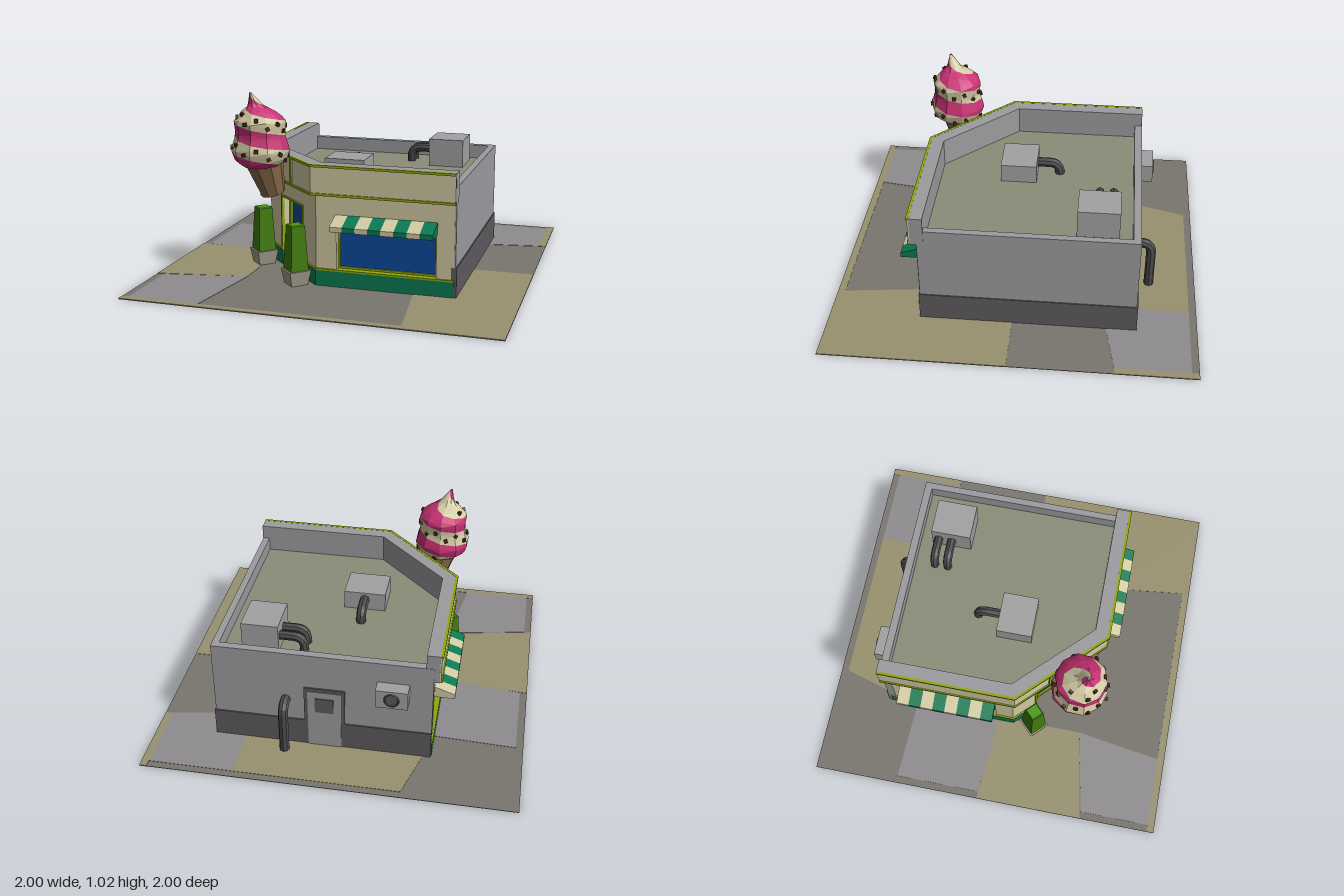
import * as THREE from 'three';

const C = {
  cream: 0xd2cba4, green: 0x0a7a52, trim: 0x8fa80a, grey: 0x9c9ca0, dark: 0x5e5a5e, glass: 0x0a4a9c, roof: 0x8c8c78,
  pipe: 0x4c4c4e, paveDark: 0x7a7670, paveGrey: 0x8e8c8e, paveTan: 0x98916f, pink: 0xc83274, waffle: 0x86694a,
  chip: 0x4a2a18, pot: 0xa39c8a, leaf: 0x3f7a0c, leafTop: 0x4c9a0a, unit: 0xa2a2a4,
};
const mats = {};
const mat = (c) => (mats[c] ??= new THREE.MeshStandardMaterial({ color: C[c], flatShading: true, side: THREE.DoubleSide }));

export function createModel() {
  const root = new THREE.Group();

  const add = (name, geo, c, parent = root) => {
    const m = new THREE.Mesh(geo, mat(c));
    m.name = name;
    parent.add(m);
    return m;
  };
  // Box given by its extents
  const box = (name, c, [x0, x1], [y0, y1], [z0, z1], parent = root) => {
    const m = add(name, new THREE.BoxGeometry(x1 - x0, y1 - y0, z1 - z0), c, parent);
    m.position.set((x0 + x1) / 2, (y0 + y1) / 2, (z0 + z1) / 2);
    return m;
  };
  // Plan outline [x, z] raised from y0 to y1
  const slab = (name, c, pts, y0, y1) => {
    const shape = new THREE.Shape(pts.map(([x, z]) => new THREE.Vector2(x, -z)));
    const geo = new THREE.ExtrudeGeometry(shape, { depth: y1 - y0, bevelEnabled: false });
    geo.rotateX(-Math.PI / 2).translate(0, y0, 0);
    return add(name, geo, c);
  };
  const pipe = (name, pts, r) => {
    const path = new THREE.CurvePath();
    const v = pts.map((p) => new THREE.Vector3(...p));
    // rounded elbow at the middle point
    const a = v[1].clone().lerp(v[0], Math.min(1, 0.06 / v[1].distanceTo(v[0])));
    const b = v[1].clone().lerp(v[2], Math.min(1, 0.06 / v[1].distanceTo(v[2])));
    path.add(new THREE.LineCurve3(v[0], a));
    path.add(new THREE.QuadraticBezierCurve3(a, v[1], b));
    path.add(new THREE.LineCurve3(b, v[2]));
    add(name, new THREE.TubeGeometry(path, 16, r, 8), 'pipe');
  };

  // Paving
  slab('paving', 'paveDark', [[-1, -1], [1, -1], [1, 1], [-1, 1]], 0.001, 0.004);
  const patches = [
    ['paveTan', [[-0.39, -0.96], [0.5, -0.96], [0.5, -0.48], [-0.52, -0.5]]],
    ['paveGrey', [[0.5, -0.96], [0.96, -0.96], [0.96, -0.56], [0.5, -0.48]]],
    ['paveTan', [[0.45, 0], [1, 0], [1, 1], [0.5, 1], [0.44, 0.5]]],
    ['paveGrey', [[-0.96, -0.52], [-0.5, -0.5], [-0.5, 0], [-0.96, -0.04]]],
    ['paveTan', [[-1, -0.04], [-0.5, -0.01], [-0.5, 0.48], [-1, 0.57]]],
    ['paveGrey', [[-0.96, 0.57], [-0.5, 0.48], [-0.57, 0.96], [-0.96, 0.96]]],
    ['paveTan', [[-1, 0.96], [0.5, 0.96], [0.5, 1], [-1, 1]]],
    ['paveTan', [[0.96, -1], [1, -1], [1, -0.56], [0.96, -0.56]]],
  ];
  for (const [c, p] of patches) slab('pavingPatch', c, p, 0, 0.006);

  // Shopfront line (left side, cut corner, front) pushed outward by d
  const line = (d, e = 0.655) => [
    [-0.51 - d, -e], [-0.51 - d, 0.083 + 0.414 * d], [-0.093 - 0.414 * d, 0.5 + d], [e, 0.5 + d],
  ];
  const S = Math.SQRT1_2, door = [-0.3015, 0.2915];
  const footprint = (d, hasDoor, hasWindows) => {
    const [a, b, c, e] = line(d);
    const pts = [a];
    if (hasWindows) pts.push([a[0], -0.565], [-0.47, -0.565], [-0.47, -0.02], [a[0], -0.02]);
    pts.push(b);
    if (hasDoor) {
      const at = (u, n) => [door[0] + S * (u - n), door[1] + S * (u + n)];
      pts.push(at(-0.13, d), at(-0.13, -0.065), at(0.13, -0.065), at(0.13, d));
    }
    pts.push(c);
    if (hasWindows) pts.push([0.02, c[1]], [0.02, 0.46], [0.56, 0.46], [0.56, c[1]]);
    pts.push(e, [0.655, -0.655]);
    return pts;
  };
  const strip = (name, c, d0, d1, y0, y1, e) =>
    slab(name, c, [...line(d1, e), ...line(d0, e).reverse()], y0, y1);

  // Shop body
  slab('shopBase', 'green', footprint(0.006, true, false), 0, 0.09);
  slab('baseTrim', 'trim', footprint(0.01, true, false), 0.09, 0.1);
  slab('shopWall', 'cream', footprint(0, true, true), 0.1, 0.345);
  slab('wallOverWindows', 'cream', footprint(0, true, false), 0.345, 0.405);
  slab('upperWall', 'cream', footprint(0, false, false), 0.405, 0.5);
  slab('roof', 'roof', footprint(-0.01, false, false), 0.5, 0.512);

  // Parapet with fascia and trims
  strip('parapet', 'grey', -0.04, 0.03, 0.505, 0.67, 0.665);
  strip('fascia', 'cream', 0.03, 0.038, 0.51, 0.66, 0.664);
  strip('lowerTrim', 'trim', 0, 0.045, 0.507, 0.52, 0.664);
  strip('upperTrim', 'trim', 0.03, 0.045, 0.658, 0.671, 0.664);

  // Plain right and back walls, with plinth
  box('rightWall', 'grey', [0.625, 0.662], [0, 0.59], [-0.665, 0.497]);
  box('backWall', 'grey', [-0.512, 0.662], [0, 0.59], [-0.667, -0.625]);
  box('rightPlinth', 'dark', [0.64, 0.668], [0, 0.165], [-0.672, 0.503]);
  for (const x of [[-0.512, -0.05], [0.17, 0.668]]) box('backPlinth', 'dark', x, [0, 0.165], [-0.674, -0.64]);

  // Window and striped awning, built facing +z around x = 0
  const shopWindow = (x, z, turn) => {
    const g = new THREE.Group();
    g.name = 'windowWithAwning';
    box('windowGlass', 'glass', [-0.27, 0.27], [0.1, 0.345], [-0.045, -0.035], g);
    for (const s of [-1, 1]) box('windowFrameSide', 'trim', [s * 0.265 - 0.006, s * 0.265 + 0.006], [0.1, 0.345], [-0.04, -0.028], g);
    for (const y of [0.105, 0.34]) box('windowFrameRail', 'trim', [-0.27, 0.27], [y - 0.006, y + 0.006], [-0.04, -0.028], g);
    const w = 0.55 / 8;
    const profile = new THREE.Shape([[0, 0.4], [0, 0.335], [0.108, 0.335], [0.108, 0.362]].map((p) => new THREE.Vector2(...p)));
    for (let i = 0; i < 8; i++) {
      const geo = new THREE.ExtrudeGeometry(profile, { depth: w, bevelEnabled: false });
      geo.rotateY(-Math.PI / 2).translate(-0.275 + (i + 1) * w, 0, 0);
      const first = turn ? 1 : 0;
      add('awningStripe', geo, (i + first) % 2 === first ? 'cream' : 'green', g);
    }
    g.position.set(x, 0, z);
    g.rotation.y = turn;
    root.add(g);
  };
  shopWindow(0.29, 0.5, 0);
  shopWindow(-0.51, -0.293, -Math.PI / 2);

  // Corner entrance
  const entry = new THREE.Group();
  entry.name = 'entrance';
  entry.position.set(door[0], 0, door[1]);
  entry.rotation.y = -Math.PI / 4;
  root.add(entry);
  box('doorGlass', 'glass', [-0.13, 0.13], [0.01, 0.405], [-0.062, -0.052], entry);
  for (const s of [-1, 1]) {
    box('doorStile', 'trim', [s * 0.119 - 0.011, s * 0.119 + 0.011], [0.005, 0.405], [-0.06, -0.04], entry);
    box('doorSurround', 'trim', [s * 0.136 - 0.006, s * 0.136 + 0.006], [0.1, 0.411], [-0.01, 0.006], entry);
    box('fasciaBar', 'trim', [s * 0.075 - 0.01, s * 0.075 + 0.01], [0.515, 0.665], [0.03, 0.046], entry);
  }
  for (const y of [0.02, 0.205, 0.39]) box('doorRail', 'trim', [-0.13, 0.13], [y - 0.015, y + 0.015], [-0.06, -0.042], entry);
  box('doorHandle', 'trim', [-0.11, -0.06], [0.17, 0.235], [-0.05, -0.025], entry);
  box('doorLintel', 'trim', [-0.142, 0.142], [0.4, 0.411], [-0.01, 0.006], entry);

  // Planters
  for (const [x, z] of [[-0.51, 0.205], [-0.205, 0.51]]) {
    add('planterPot', new THREE.CylinderGeometry(0.087, 0.066, 0.085, 4), 'pot').position.set(x, 0.0425, z);
    add('shrub', new THREE.CylinderGeometry(0.054, 0.073, 0.25, 4), 'leaf').position.set(x, 0.205, z);
    add('shrubTop', new THREE.CylinderGeometry(0.046, 0.052, 0.004, 4), 'leafTop').position.set(x, 0.332, z);
  }

  // Ice cream sign: waffle cone
  const cone = add('waffleCone', new THREE.CylinderGeometry(0.112, 0.068, 0.225, 9), 'waffle');
  cone.position.set(-0.4, 0.572, 0.4);
  cone.quaternion.setFromUnitVectors(new THREE.Vector3(0, 1, 0), new THREE.Vector3(-0.045, 0.225, 0.045).normalize());

  // Swirl: helical bands over a turned profile
  const prof = [[0.62, 0.09], [0.65, 0.138], [0.71, 0.158], [0.78, 0.136], [0.8, 0.132], [0.87, 0.14], [0.92, 0.09], [0.95, 0.042], [1.02, 0.006]];
  const swirl = (theta, height) => {
    const h = THREE.MathUtils.clamp(height, 0.62, 1.02);
    let i = 0;
    while (i < prof.length - 2 && h > prof[i + 1][0]) i++;
    const [[h0, r0], [h1, r1]] = [prof[i], prof[i + 1]];
    const r = r0 + ((r1 - r0) * (h - h0)) / (h1 - h0);
    const c = 0.428 + Math.max(0, h - 0.9) * 0.3;
    return [-c + r * Math.sin(theta), h, c + r * Math.cos(theta)];
  };
  const sides = 10, rows = 3, band = 0.08;
  const level = (theta, k) => 0.755 + band * k - (band * theta) / Math.PI;
  const verts = { pink: [], cream: [] };
  for (let k = -2; k < 6; k++) {
    for (let s = 0; s < sides; s++) for (let j = 0; j < rows; j++) {
      const t0 = (s / sides) * 2 * Math.PI, t1 = ((s + 1) / sides) * 2 * Math.PI;
      const k0 = k + j / rows, k1 = k + (j + 1) / rows;
      if (level(t0, k1) <= 0.62 || level(t1, k0) >= 1.02) continue;
      const a = swirl(t0, level(t0, k0)), b = swirl(t1, level(t1, k0));
      const c = swirl(t1, level(t1, k1)), d = swirl(t0, level(t0, k1));
      verts[k % 2 ? 'cream' : 'pink'].push(...a, ...b, ...c, ...a, ...c, ...d);
    }
  }
  for (const c of ['pink', 'cream']) {
    const geo = new THREE.BufferGeometry();
    geo.setAttribute('position', new THREE.Float32BufferAttribute(verts[c], 3));
    geo.computeVertexNormals();
    add(c + 'Swirl', geo, c);
  }
  // Chocolate chips along the cream bands
  for (let k = -1; k < 5; k += 2) for (let i = 0; i < 14; i++) {
    const t = ((i + 0.5) / 14) * 2 * Math.PI, h = level(t, k + (i % 2 ? 0.3 : 0.7));
    if (h < 0.65 || h > 0.93) continue;
    const chip = add('chocolateChip', new THREE.BoxGeometry(0.02, 0.02, 0.014), 'chip');
    chip.position.set(...swirl(t, h));
    chip.rotation.set(0, t, 0.5 * i);
  }

  // Rooftop units and ducts
  box('roofUnit', 'unit', [-0.17, 0.06], [0.5, 0.617], [-0.08, 0.12]);
  pipe('roofDuct', [[-0.055, 0.577, -0.06], [-0.055, 0.577, -0.205], [-0.055, 0.5, -0.205]], 0.027);
  box('largeRoofUnit', 'unit', [0.325, 0.525], [0.5, 0.67], [-0.555, -0.33]);
  for (const z of [-0.515, -0.44]) pipe('roofDuct', [[0.34, 0.595, z], [0.195, 0.595, z], [0.195, 0.5, z]], 0.025);

  // Back wall fittings
  pipe('downpipe', [[0.27, 0.293, -0.65], [0.27, 0.293, -0.74], [0.27, 0, -0.74]], 0.027);
  box('backDoorFrame', 'dark', [-0.05, 0.17], [0, 0.385], [-0.674, -0.65]);
  box('backDoor', 'grey', [-0.03, 0.15], [0, 0.365], [-0.678, -0.65]);
  box('backDoorWindow', 'dark', [0.01, 0.11], [0.235, 0.325], [-0.683, -0.65]);
  box('airConditioner', 'unit', [-0.39, -0.22], [0.365, 0.472], [-0.74, -0.66]);
  const fan = add('fanRing', new THREE.TorusGeometry(0.036, 0.006, 6, 16), 'pipe');
  fan.position.set(-0.305, 0.418, -0.741);
  const hub = add('fanGrille', new THREE.CylinderGeometry(0.034, 0.034, 0.004, 16), 'dark');
  hub.rotation.x = Math.PI / 2;
  hub.position.set(-0.305, 0.418, -0.741);

  return root;
}
